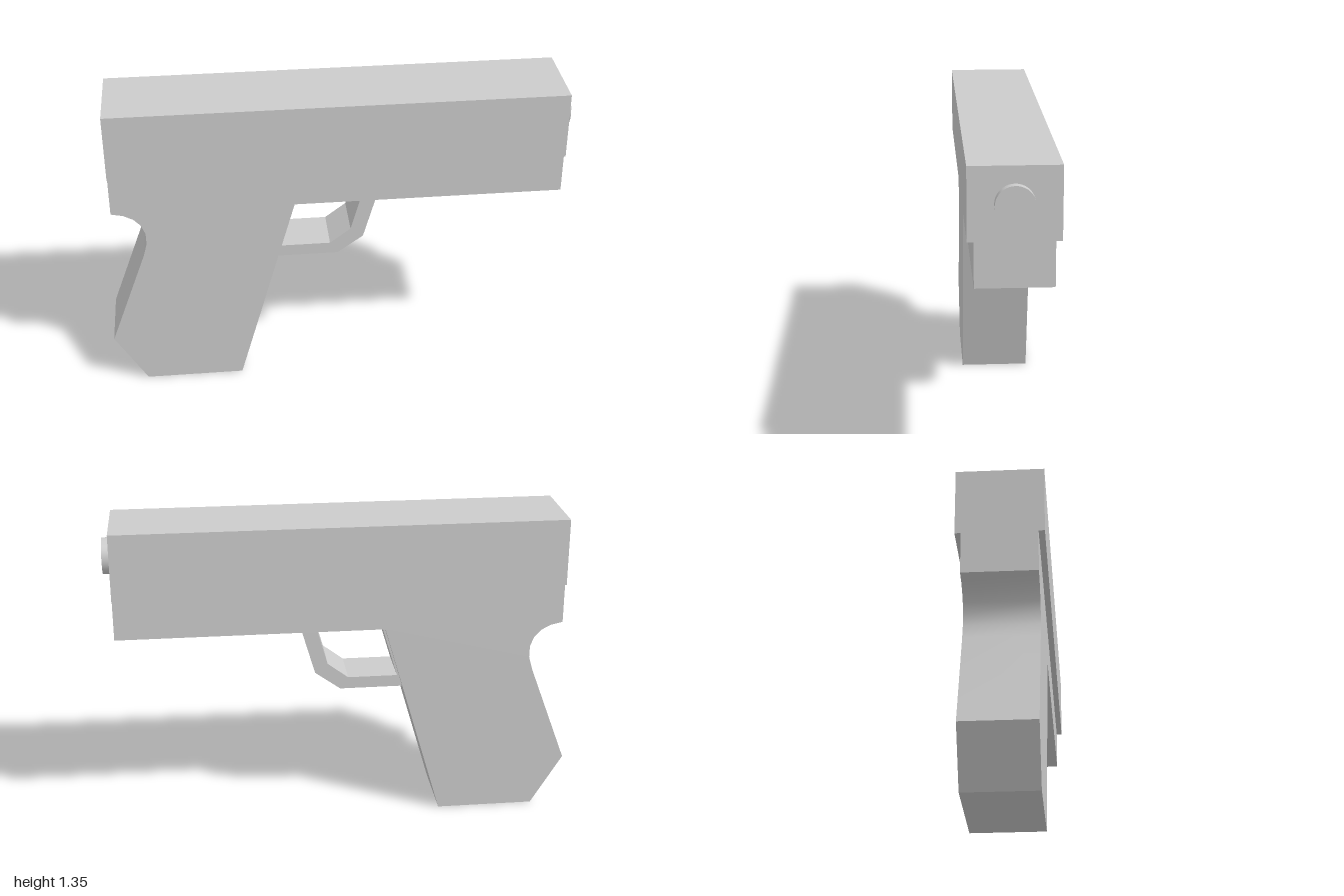
import * as THREE from 'three';
import { toCreasedNormals } from 'three/addons/utils/BufferGeometryUtils.js';

const material = new THREE.MeshStandardMaterial({ color: 0xcccccc });

function addPart(group, name, geometry, x = 0, y = 0) {
  const mesh = new THREE.Mesh(geometry, material);
  mesh.name = name;
  mesh.position.set(x, y, 0);
  group.add(mesh);
  return mesh;
}

// Side profile extruded symmetrically about z = 0
function slab(shape, width) {
  const geometry = new THREE.ExtrudeGeometry(shape, { depth: width, bevelEnabled: false, curveSegments: 6 });
  geometry.translate(0, 0, -width / 2);
  return toCreasedNormals(geometry, Math.PI / 7);
}

const points = (list) => list.map(([x, y]) => new THREE.Vector2(x, y));

export function createModel() {
  const model = new THREE.Group();
  model.name = 'pistol';

  // Upper slide block
  addPart(model, 'slide', new THREE.BoxGeometry(1.925, 0.29, 0.356), 0.0025, 1.205);

  // Short barrel end at the muzzle
  const barrel = addPart(model, 'barrel', new THREE.CylinderGeometry(0.077, 0.077, 0.1, 40), 0.95, 1.205);
  barrel.rotation.z = -Math.PI / 2;

  // Frame and raked grip in one profile, with a curved notch at the back
  const frame = new THREE.Shape(points([
    [-0.96, 1.06], [-0.96, 0.88],
  ]));
  frame.bezierCurveTo(-0.85, 0.87, -0.785, 0.79, -0.838, 0.66);
  for (const [x, y] of [[-1, 0.225], [-0.863, 0], [-0.438, 0], [-0.185, 0.88], [0.965, 0.88], [0.965, 1.06]]) {
    frame.lineTo(x, y);
  }
  frame.closePath();
  addPart(model, 'frameAndGrip', slab(frame, 0.306));

  // Closed trigger guard ring
  const guard = new THREE.Shape(points([
    [-0.185, 0.88], [-0.27, 0.59], [0.005, 0.59], [0.115, 0.67], [0.175, 0.88],
  ]));
  guard.holes.push(new THREE.Path(points([
    [-0.178, 0.87], [0.105, 0.87], [0.06, 0.71], [-0.03, 0.642], [-0.245, 0.642],
  ])));
  addPart(model, 'triggerGuard', slab(guard, 0.21));

  return model;
}
